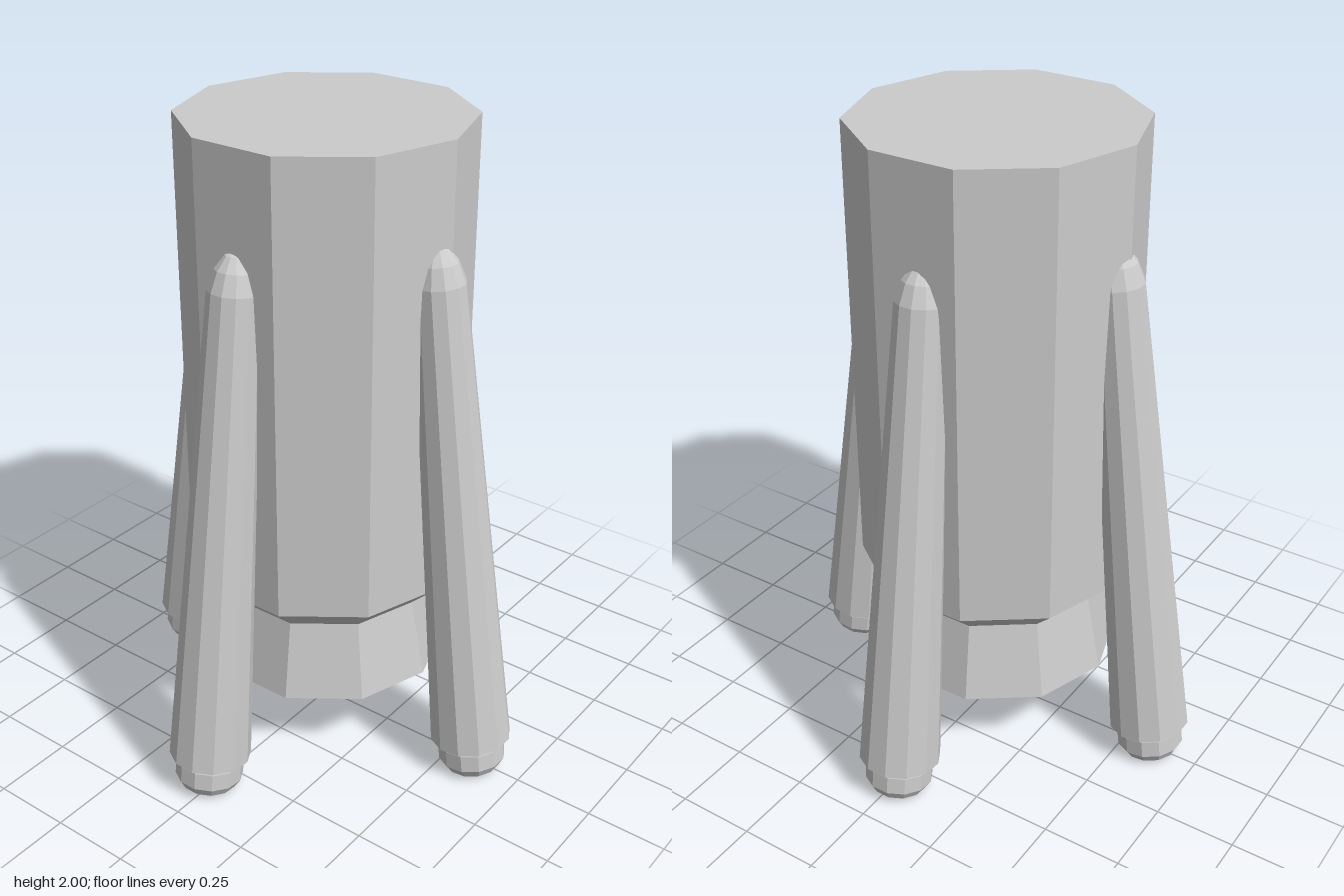
import * as THREE from 'three';

const material = new THREE.MeshStandardMaterial({ color: 0xcccccc, flatShading: true });

// Faceted solid of revolution; the profile runs from bottom to top
function turned(name, profile, sides, phiStart = 0) {
  const points = profile.map(([r, y]) => new THREE.Vector2(r, y));
  const mesh = new THREE.Mesh(new THREE.LatheGeometry(points, sides, phiStart), material);
  mesh.name = name;
  return mesh;
}

// Slim tapered booster with a rounded tip and a small hollow nozzle; origin at its base
function createBooster() {
  const booster = new THREE.Group();
  const turn = Math.PI / 12;
  booster.add(
    turned('boosterBody', [
      [0, 0], [0.126, 0], [0.076, 1.49], [0.058, 1.55], [0.03, 1.59], [0, 1.605],
    ], 12, turn),
    turned('boosterNozzle', [
      [0, -0.065], [0.055, -0.065], [0.066, -0.105], [0.086, -0.105],
      [0.105, -0.075], [0.105, -0.02], [0.095, 0.01],
    ], 12, turn),
  );
  return booster;
}

export function createModel() {
  const model = new THREE.Group();
  model.name = 'rocketStage';

  // Ten-sided core with a bevelled lower end
  const core = turned('coreBody', [
    [0, 0.495], [0.337, 0.495], [0.433, 0.585], [0.433, 2], [0, 2],
  ], 10);

  // Flared main nozzle with a shallow recess underneath
  const nozzle = turned('mainNozzle', [
    [0, 0.29], [0.235, 0.29], [0.386, 0.245], [0.337, 0.495],
  ], 10);
  for (const part of [core, nozzle]) {
    part.position.set(0.007, 0, -0.007);
    model.add(part);
  }

  // Four boosters leaning in towards the core: front, left, back, right
  const bases = [[-0.017, 0.58], [0.572, -0.014], [0.004, -0.58], [-0.577, -0.014]];
  const names = ['frontBooster', 'leftBooster', 'backBooster', 'rightBooster'];
  bases.forEach(([x, z], i) => {
    const booster = createBooster();
    booster.name = names[i];
    booster.rotation.order = 'YXZ';
    booster.rotation.set(-0.119, i * Math.PI / 2, 0);
    booster.position.set(x, 0.116, z);
    model.add(booster);
  });

  return model;
}
